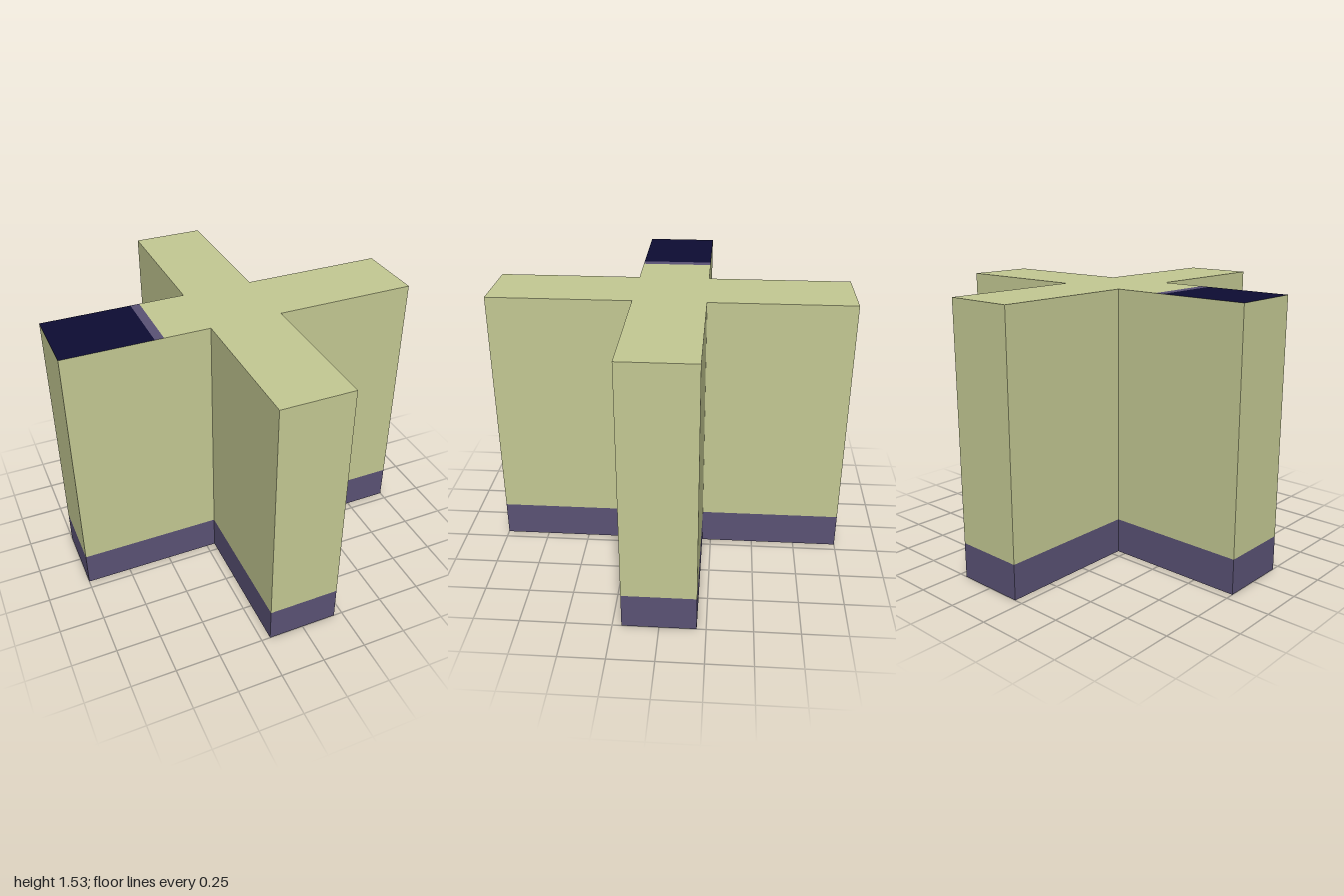
import * as THREE from 'three';

const HEIGHT = 1.53, BAND = 0.2, ARM = 0.2, END = 1;
const NAVY_EDGE = -0.505, TRIM_EDGE = -0.455;

function material(name, color) {
  return new THREE.MeshStandardMaterial({ name, color, side: THREE.DoubleSide });
}

// Plus-shaped outline, counter-clockwise; the -x arm stops at leftEnd
function crossOutline(leftEnd) {
  return [
    [ARM, -ARM], [END, -ARM], [END, ARM], [ARM, ARM],
    [ARM, END], [-ARM, END], [-ARM, ARM], [leftEnd, ARM],
    [leftEnd, -ARM], [-ARM, -ARM], [-ARM, -END], [ARM, -END],
  ];
}

// Open ring of upright flat walls between two heights
function wallRing(outline, y0, y1) {
  const positions = [];
  outline.forEach(([ax, ay], i) => {
    const [bx, by] = outline[(i + 1) % outline.length];
    const a0 = [ax, y0, -ay], b0 = [bx, y0, -by];
    const a1 = [ax, y1, -ay], b1 = [bx, y1, -by];
    positions.push(...a0, ...b0, ...b1, ...a0, ...b1, ...a1);
  });
  const geometry = new THREE.BufferGeometry();
  geometry.setAttribute('position', new THREE.Float32BufferAttribute(positions, 3));
  geometry.computeVertexNormals();
  return geometry;
}

// Level face covering an outline at the top of the walls
function topFace(outline) {
  const shape = new THREE.Shape(outline.map(([x, y]) => new THREE.Vector2(x, y)));
  return new THREE.ShapeGeometry(shape).rotateX(-Math.PI / 2).translate(0, HEIGHT, 0);
}

function armStrip(x0, x1) {
  return topFace([[x0, -ARM], [x1, -ARM], [x1, ARM], [x0, ARM]]);
}

export function createModel() {
  const group = new THREE.Group();
  group.name = 'crossBlock';
  const olive = material('olive', 0xc4c993);
  const purple = material('purple', 0x5a5275);
  const navy = material('navy', 0x0d0c33);

  const add = (name, geometry, mat) => {
    const mesh = new THREE.Mesh(geometry, mat);
    mesh.name = name;
    group.add(mesh);
  };

  // Hollow walls, open underneath, with a coloured band at the foot
  const outline = crossOutline(-END);
  add('baseBand', wallRing(outline, 0, BAND), purple);
  add('walls', wallRing(outline, BAND, HEIGHT), olive);

  // Top, with the end of one arm in other colours
  add('top', topFace(crossOutline(TRIM_EDGE)), olive);
  add('topTrim', armStrip(NAVY_EDGE, TRIM_EDGE), purple);
  add('topPanel', armStrip(-END, NAVY_EDGE), navy);

  return group;
}
